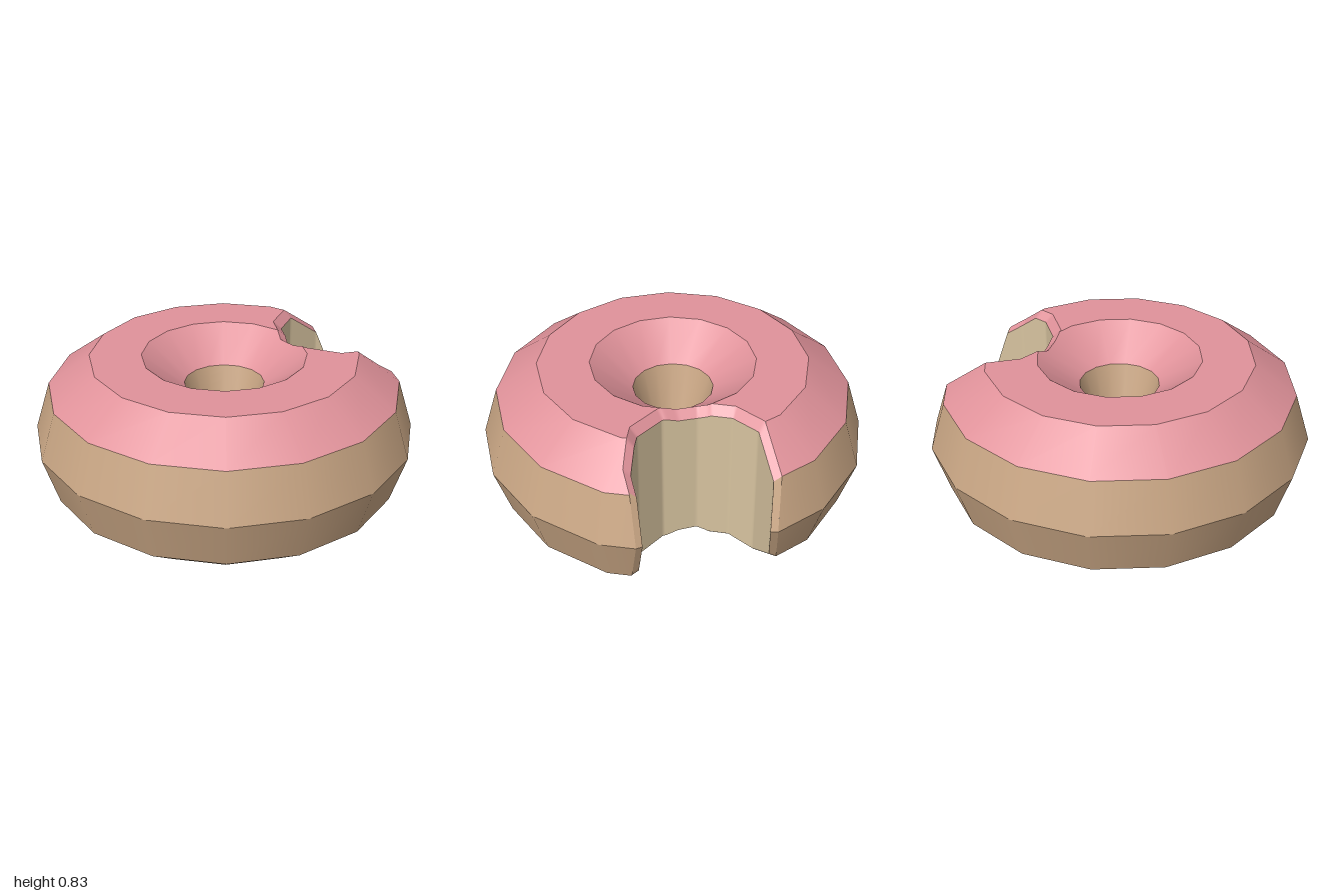
import * as THREE from 'three';

const SIDES = 16, MID = 0.415, STEP = (Math.PI * 2) / SIDES;
// closed ring profile (radius, height): rim, over the top, through the hole, underneath
const upper = [[1, MID], [0.92, 0.67], [0.7, 0.83], [0.43, 0.83], [0.21, 0.67], [0.13, MID]];
const profile = [...upper, ...upper.slice(1, 5).reverse().map(([r, y]) => [r, 2 * MID - y])];
// bite outline in plan (x, z), from the back rim round to the side rim
const bite = [[0.28, -0.94], [0.2, -0.88], [0.09, -0.68], [0.09, -0.5], [0.19, -0.34],
  [0.36, -0.235], [0.56, -0.24], [0.73, -0.36], [0.82, -0.52]];
const biteCentre = [0.52, -0.66];

const lerp = (a, b, t) => a.map((v, i) => v + (b[i] - v) * t);

// ring coordinate of a plan point: the radius of the 16-gon passing through it
function ringRadius([x, z]) {
  const a = Math.atan2(x, z);
  const mid = (Math.floor(a / STEP) + 0.5) * STEP;
  return Math.hypot(x, z) * Math.cos(a - mid) / Math.cos(STEP / 2);
}

// height of the upper surface above the middle
function halfHeight(p) {
  const r = Math.min(1, ringRadius(p));
  const i = upper.findIndex((q, k) => k < 5 && r >= upper[k + 1][0]);
  const [a, b] = [upper[i], upper[i + 1]];
  return a[1] + (b[1] - a[1]) * (a[0] - r) / (a[0] - b[0]) - MID;
}

// part of a convex polygon where sign * f > 0
function clip(poly, f, sign) {
  const out = [];
  poly.forEach((p, i) => {
    const q = poly[(i + 1) % poly.length], fp = sign * f(p), fq = sign * f(q);
    if (fp >= 0) out.push(p);
    if (fp * fq < 0) out.push(lerp(p, q, fp / (fp - fq)));
  });
  return out;
}

// remove the bitten area from a polygon, giving the remaining pieces
function subtractBite(poly) {
  const pieces = [];
  let rest = poly;
  for (let i = 0; i < bite.length - 1 && rest.length > 2; i++) {
    const [a, b] = [bite[i], bite[i + 1]];
    const f = (p) => (b[0] - a[0]) * (p[2] - a[1]) - (b[1] - a[1]) * (p[0] - a[0]);
    const outside = clip(rest, f, 1);
    if (outside.length > 2) pieces.push(outside);
    rest = clip(rest, f, -1);
  }
  return rest.length > 2 ? pieces : [poly];
}

// bands of the ring, smooth around and sharp between bands
function ringGeometry(bands) {
  const pos = [], nor = [];
  for (const i of bands) {
    const a = profile[i], b = profile[(i + 1) % profile.length];
    const len = Math.hypot(b[0] - a[0], b[1] - a[1]);
    const nr = (b[1] - a[1]) / len, ny = (a[0] - b[0]) / len;
    const corner = ([r, y], j) => {
      const s = Math.sin(j * STEP), c = Math.cos(j * STEP);
      return [r * s, y, r * c, nr * s, ny, nr * c];
    };
    for (let j = 0; j < SIDES; j++) {
      const quad = [corner(a, j), corner(a, j + 1), corner(b, j + 1), corner(b, j)];
      for (const piece of subtractBite(quad)) {
        for (let k = 1; k < piece.length - 1; k++) {
          for (const v of [piece[0], piece[k], piece[k + 1]]) {
            pos.push(...v.slice(0, 3));
            nor.push(...v.slice(3));
          }
        }
      }
    }
  }
  const g = new THREE.BufferGeometry();
  g.setAttribute('position', new THREE.Float32BufferAttribute(pos, 3));
  g.setAttribute('normal', new THREE.Float32BufferAttribute(nor, 3));
  return g;
}

// strip between two matching rows of points, facing into the bite
function stripGeometry(top, bottom) {
  const index = [], n = top.length;
  for (let i = 0; i < n - 1; i++) index.push(i, i + 1, n + i, i + 1, n + i + 1, n + i);
  const g = new THREE.BufferGeometry();
  g.setAttribute('position', new THREE.Float32BufferAttribute([...top, ...bottom].flat(), 3));
  g.setIndex(index);
  g.computeVertexNormals();
  return g;
}

// point where the line from a through b meets the outer rim
function toRim(a, b) {
  let lo = 0, hi = 2;
  for (let i = 0; i < 40; i++) {
    const t = (lo + hi) / 2;
    if (ringRadius(lerp(a, b, t)) < 1) lo = t; else hi = t;
  }
  return lerp(a, b, lo);
}

export function createModel() {
  const group = new THREE.Group();
  const icing = new THREE.MeshStandardMaterial({ color: 0xe0929a });
  const crust = new THREE.MeshStandardMaterial({ color: 0xc9a684 });
  const crumb = new THREE.MeshStandardMaterial({ color: 0xd8c4a0 });
  const add = (name, geometry, material) => {
    const mesh = new THREE.Mesh(geometry, material);
    mesh.name = name;
    group.add(mesh);
  };

  add('icing', ringGeometry([1, 2, 3]), icing);
  add('dough', ringGeometry([0, 4, 5, 6, 7, 8, 9]), crust);

  // outline of the bite, sampled from rim to rim
  const n = bite.length;
  const line = [toRim(bite[1], bite[0]), ...bite.slice(1, n - 1), toRim(bite[n - 2], bite[n - 1])];
  const samples = [line[0]];
  for (let i = 0; i < n - 1; i++) {
    for (let k = 1; k <= 16; k++) samples.push(lerp(line[i], line[i + 1], k / 16));
  }

  // skin edge on the surface, crumb edge set in from it
  const row = (inset, sign) => samples.map((p) => {
    const [x, z] = lerp(p, biteCentre, inset);
    return [x, MID + sign * halfHeight(p) * (1 - inset), z];
  });
  const skinTop = row(0, 1), crumbTop = row(0.1, 1);
  const skinBottom = row(0, -1), crumbBottom = row(0.1, -1);
  add('bittenCrumb', stripGeometry(crumbTop, crumbBottom), crumb);
  add('bittenCrustEdge', stripGeometry(crumbBottom, skinBottom), crust);

  // upper edge: icing over the top, crust where it dips to the rim
  const iced = samples.map((p) => ringRadius(p) <= 0.92);
  const first = iced.indexOf(true), last = iced.lastIndexOf(true);
  const edge = (name, from, to, material) =>
    add(name, stripGeometry(skinTop.slice(from, to + 1), crumbTop.slice(from, to + 1)), material);
  edge('bittenIcingEdge', first, last, icing);
  edge('backRimEdge', 0, first, crust);
  edge('sideRimEdge', last, samples.length - 1, crust);
  return group;
}
